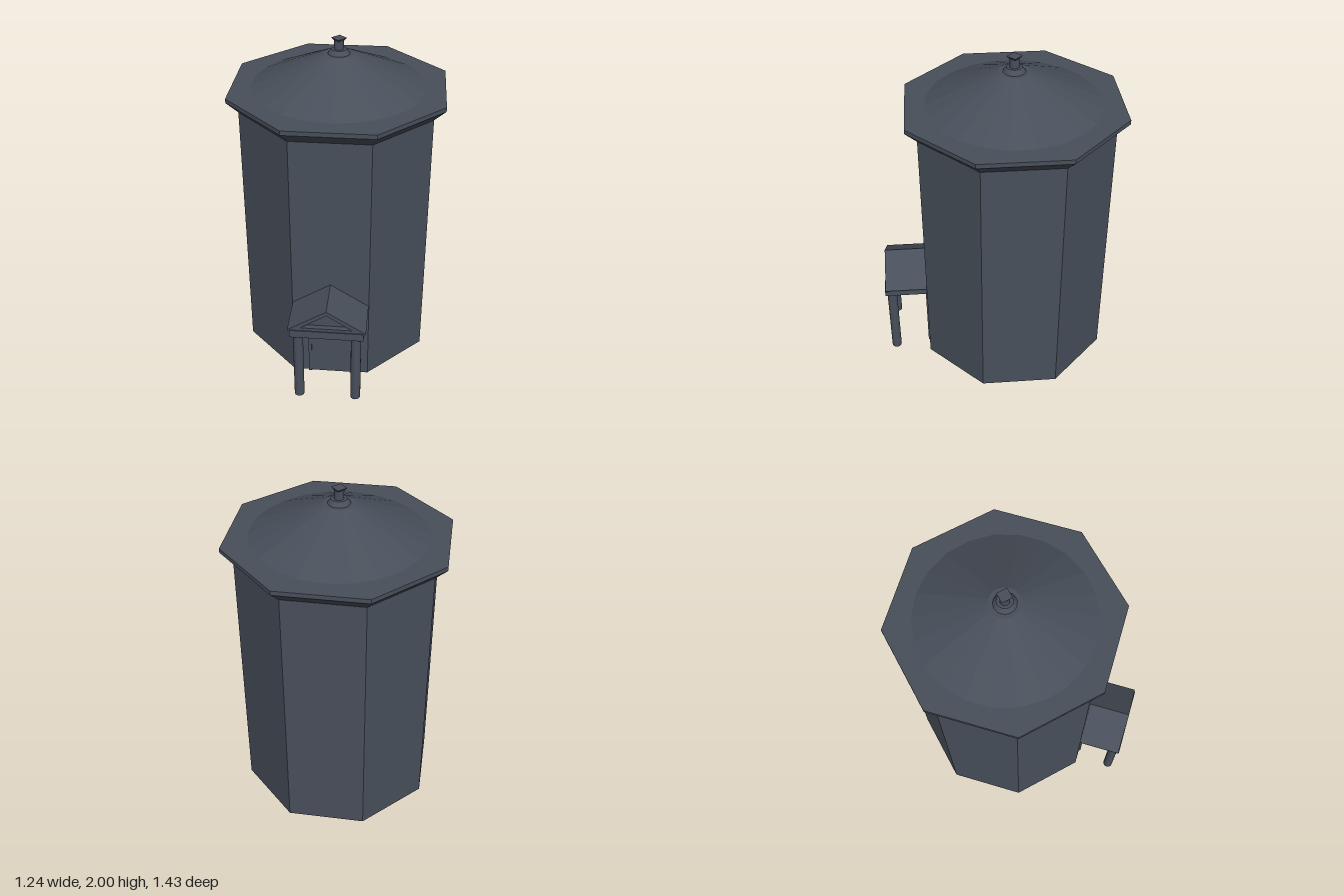
import * as THREE from 'three';

export function createModel() {
  const model = new THREE.Group();
  const slate = new THREE.MeshStandardMaterial({ color: 0x484f5a, flatShading: true });
  slate.name = 'slate grey';

  const add = (parent, name, geometry, x = 0, y = 0, z = 0) => {
    const mesh = new THREE.Mesh(geometry, slate);
    mesh.name = name;
    mesh.position.set(x, y, z);
    parent.add(mesh);
    return mesh;
  };
  // Tapered ring section standing between two heights
  const drum = (parent, name, rBottom, rTop, y0, y1, sides, turn = 0) =>
    add(parent, name, new THREE.CylinderGeometry(rTop, rBottom, y1 - y0, sides).rotateY(turn), 0, (y0 + y1) / 2);
  // Octagonal section, sized by the distance from its axis to a flat side
  const octagon = (parent, name, aBottom, aTop, y0, y1) => {
    const k = 1 / Math.cos(Math.PI / 8);
    return drum(parent, name, aBottom * k, aTop * k, y0, y1, 8, Math.PI / 8);
  };
  const outline = (points) => points.map(([x, y]) => new THREE.Vector2(x, y));

  // Tower, eaves and roof share one axis
  const tower = new THREE.Group();
  tower.name = 'tower';
  tower.position.z = -0.095;
  model.add(tower);
  octagon(tower, 'walls', 0.555, 0.555, 0, 1.62);
  octagon(tower, 'eavesFlare', 0.555, 0.62, 1.62, 1.688);
  octagon(tower, 'eavesSlab', 0.62, 0.62, 1.688, 1.714);
  drum(tower, 'roofCone', 0.51, 0.09, 1.714, 1.908, 22);
  drum(tower, 'finialBase', 0.065, 0.045, 1.908, 1.935, 16);
  drum(tower, 'finialStem', 0.028, 0.028, 1.935, 1.988, 16);
  drum(tower, 'finialCap', 0.032, 0.045, 1.986, 2.0, 4);

  // Porch against the front wall
  const porch = new THREE.Group();
  porch.name = 'porch';
  model.add(porch);
  const wallZ = 0.455;

  for (const side of [-1, 1]) {
    add(porch, side > 0 ? 'leftColumn' : 'rightColumn',
      new THREE.CylinderGeometry(0.03, 0.03, 0.475, 16), side * 0.17, 0.2475, 0.68);
  }
  add(porch, 'porchBeam', new THREE.BoxGeometry(0.43, 0.05, 0.265), 0, 0.505, wallZ + 0.1325);

  // Gable with a recessed triangular face
  const gable = outline([[-0.215, 0.48], [0.215, 0.48], [0.215, 0.515], [0.228, 0.53],
    [0, 0.675], [-0.228, 0.53], [-0.215, 0.515]]);
  const front = new THREE.Shape(gable);
  front.holes.push(new THREE.Path(outline([[-0.15, 0.55], [0, 0.648], [0.15, 0.55]])));
  add(porch, 'gableFrame',
    new THREE.ExtrudeGeometry(front, { depth: 0.03, bevelEnabled: false }), 0, 0, 0.685);
  const roof = new THREE.Shape(outline([[-0.228, 0.53], [0.228, 0.53], [0, 0.675]]));
  add(porch, 'porchRoof',
    new THREE.ExtrudeGeometry(roof, { depth: 0.23, bevelEnabled: false }), 0, 0, wallZ);

  // Door and its surround
  const surround = new THREE.Shape(outline([[-0.137, 0], [-0.118, 0], [-0.118, 0.457],
    [0.118, 0.457], [0.118, 0], [0.137, 0], [0.137, 0.48], [-0.137, 0.48]]));
  add(porch, 'doorFrame',
    new THREE.ExtrudeGeometry(surround, { depth: 0.015, bevelEnabled: false }), 0, 0, wallZ);
  add(porch, 'door', new THREE.BoxGeometry(0.236, 0.457, 0.008), 0, 0.2285, 0.46);

  return model;
}
